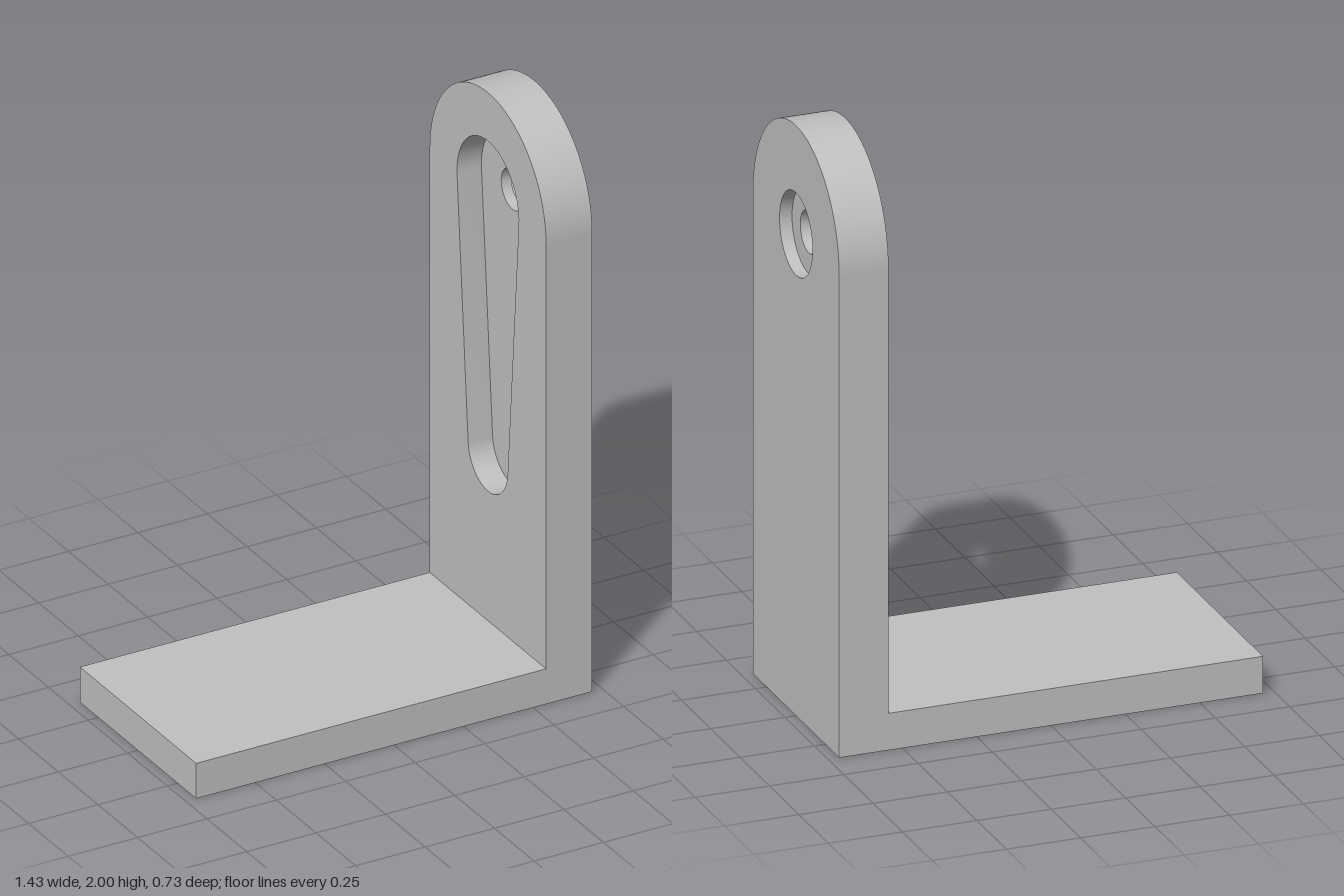
import * as THREE from 'three';
import { mergeGeometries, toCreasedNormals } from 'three/addons/utils/BufferGeometryUtils.js';

const X = 0.713, X0 = 0.547;          // half length, inner face of the upright
const R = 0.367, H = 2 - R;           // half width, centre height of the round top
const T = 0.125;                      // base thickness
const SLOT = X0 + 0.088, BORE = X - 0.042; // recess floors

const P = (x, y) => new THREE.Vector2(x, y);

function arc(cy, r, a0, a1, n = 32) {
  return Array.from({ length: n + 1 }, (_, i) => {
    const a = a0 + (a1 - a0) * i / n;
    return P(r * Math.cos(a), cy + r * Math.sin(a));
  });
}

const circle = (cy, r) => arc(cy, r, 0, Math.PI * 2, 48).slice(0, -1);

const rect = (x0, x1, y0, y1) => [P(x0, y0), P(x1, y0), P(x1, y1), P(x0, y1)];

// Flat face at depth z, facing +z (or -z when flipped)
function cap(outline, holes, z, flip = false) {
  const shape = new THREE.Shape(outline);
  shape.holes = holes.map((h) => new THREE.Path(h));
  const g = new THREE.ShapeGeometry(shape).translate(0, 0, z);
  if (flip) g.index.array.reverse();
  g.deleteAttribute('uv');
  g.deleteAttribute('normal');
  return g.toNonIndexed();
}

// Side wall along a counter-clockwise line, facing outward
function wall(points, z0, z1) {
  const pos = [];
  for (let i = 0; i < points.length - 1; i++) {
    const p = points[i], q = points[i + 1];
    pos.push(p.x, p.y, z0, q.x, q.y, z0, q.x, q.y, z1);
    pos.push(p.x, p.y, z0, q.x, q.y, z1, p.x, p.y, z1);
  }
  return new THREE.BufferGeometry().setAttribute('position', new THREE.Float32BufferAttribute(pos, 3));
}

// Wall of a hole, facing inward
const holeWall = (points, z0, z1) => wall([...points, points[0]].reverse(), z0, z1);

export function createModel() {
  const group = new THREE.Group();
  const grey = new THREE.MeshStandardMaterial({ color: 0xc0c0c0 });
  grey.name = 'light grey';

  const add = (name, parts) => {
    const mesh = new THREE.Mesh(toCreasedNormals(mergeGeometries(parts), 0.5), grey);
    mesh.name = name;
    group.add(mesh);
  };

  // Upright plate: round top, screw hole, counterbore outside, tapered recess inside
  const top = arc(H, R, 0, Math.PI, 64);
  const hole = circle(H, 0.07);
  const bore = circle(H, 0.14);
  const lowY = 0.71, bigR = 0.195, smallR = 0.125;
  const tilt = Math.asin((bigR - smallR) / (H - lowY));
  const slot = [
    ...arc(H, bigR, -tilt, Math.PI + tilt),
    ...arc(lowY, smallR, Math.PI + tilt, Math.PI * 2 - tilt),
  ];
  const upright = [
    cap([P(-R, 0), P(R, 0), ...top], [bore], X),
    holeWall(bore, BORE, X),
    cap(bore, [hole], BORE),
    holeWall(hole, SLOT, BORE),
    cap(slot, [hole], SLOT, true),
    holeWall(slot, X0, SLOT),
    cap([P(-R, T), P(R, T), ...top], [slot], X0, true),
    wall(top, X0, X),
  ];
  add('uprightPlate', upright.map((g) => g.rotateY(Math.PI / 2)));

  // L-shaped sides, with the top and end of the base
  const profile = [P(-X, 0), P(X, 0), P(X, H), P(X0, H), P(X0, T), P(-X, T)];
  add('bracketSides', [
    cap(profile, [], R),
    cap(profile, [], -R, true),
    wall([P(X0, T), P(-X, T), P(-X, 0)], -R, R),
  ]);

  // Underside with two shallow pockets
  const pockets = [rect(0.095, 0.217, -0.05, 0.05), rect(-0.39, 0.03, -0.048, 0.048)];
  const depth = 0.042;
  const underside = [cap(rect(-X, X, -R, R), pockets, 0)];
  for (const p of pockets) underside.push(cap(p, [], -depth), holeWall(p, -depth, 0));
  add('baseUnderside', underside.map((g) => g.rotateX(Math.PI / 2)));

  return group;
}
